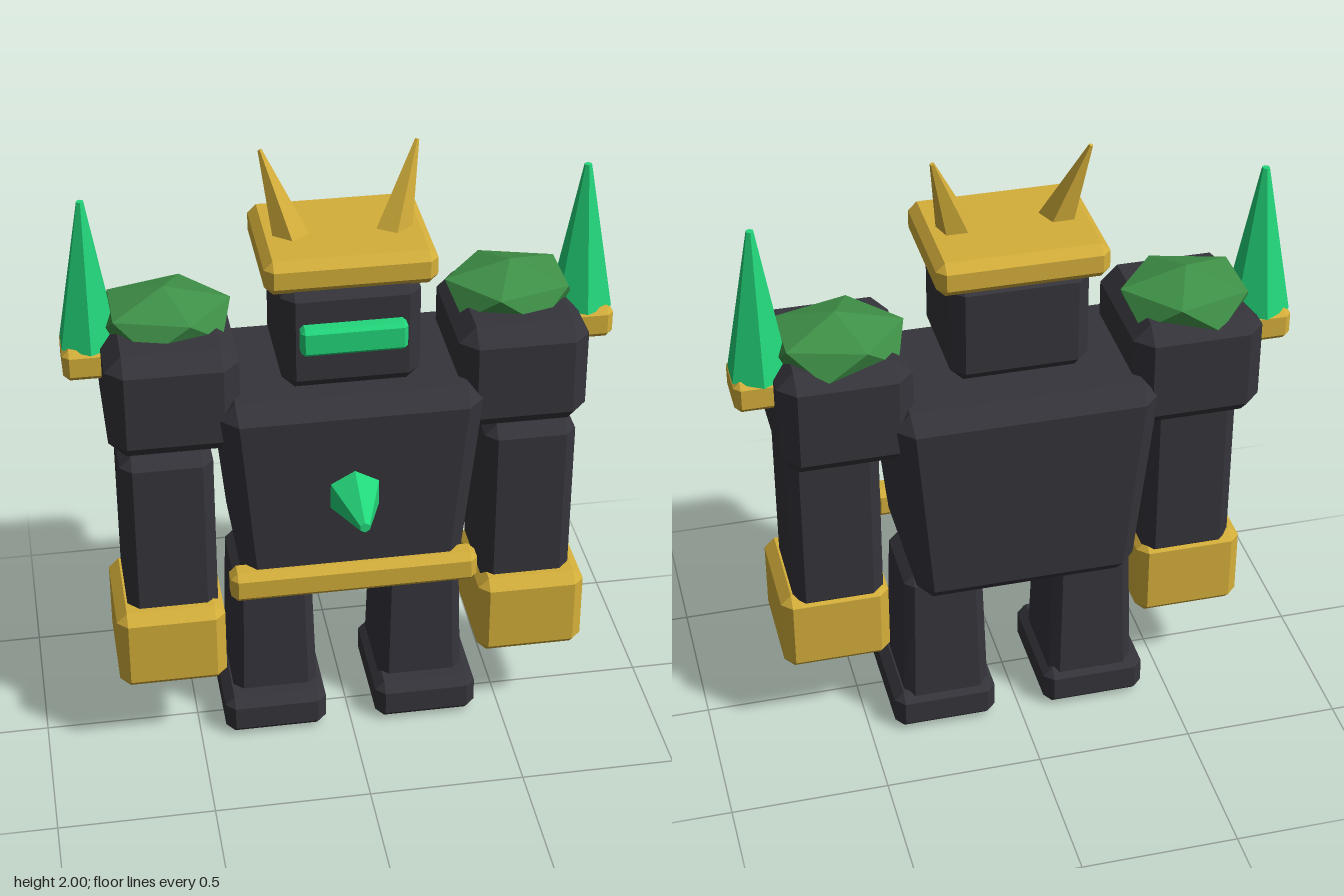
import * as THREE from 'three';
import { ConvexGeometry } from 'three/addons/geometries/ConvexGeometry.js';

const mat = (name, color) => Object.assign(new THREE.MeshStandardMaterial({ color }), { name });

// Box with chamfered edges; taperX/taperZ scale the bottom relative to the top
function chamferBox(w, h, d, bevel, taperX = 1, taperZ = 1) {
  const pts = [];
  for (const sx of [-1, 1]) for (const sy of [-1, 1]) for (const sz of [-1, 1]) {
    for (let face = 0; face < 3; face++) {
      const [x, y, z] = [w, h, d].map((s, i) => s / 2 - (i === face ? 0 : bevel));
      const t = 0.5 - (sy * y) / h; // 0 at the top, 1 at the bottom
      pts.push(new THREE.Vector3(
        sx * x * (1 + (taperX - 1) * t), sy * y, sz * z * (1 + (taperZ - 1) * t)));
    }
  }
  return new ConvexGeometry(pts);
}

// Faceted spike along +y with flat sides
function spike(rTip, rBase, height, sides) {
  const g = new THREE.CylinderGeometry(rTip, rBase, height, sides).toNonIndexed();
  g.computeVertexNormals();
  return g;
}

// Twelve-cornered boulder: two poles and two staggered rings of five
function boulder(rx, ry, rz) {
  const pts = [new THREE.Vector3(0, ry, 0), new THREE.Vector3(0, -ry, 0)];
  for (let i = 0; i < 10; i++) {
    const a = (i * Math.PI) / 5;
    pts.push(new THREE.Vector3(
      -rx * 0.894 * Math.cos(a), ry * (i % 2 ? -0.447 : 0.447), rz * 0.894 * Math.sin(a)));
  }
  return new ConvexGeometry(pts);
}

export function createModel() {
  const model = new THREE.Group();
  model.name = 'golem';
  const stone = mat('dark stone', 0x35343b);
  const gold = mat('gold', 0xd4af3a);
  const crystal = mat('bright crystal', 0x22d67a);
  const moss = mat('mossy green', 0x3f9148);

  const add = (name, geometry, material, x, y, z) => {
    const mesh = new THREE.Mesh(geometry, material);
    mesh.name = name;
    mesh.position.set(x, y, z);
    model.add(mesh);
    return mesh;
  };
  // Box given by centre x, half width, and its y and z ranges
  const block = (name, material, x, hw, [y0, y1], [z0, z1], bevel, tx, tz) =>
    add(name, chamferBox(hw * 2, y1 - y0, z1 - z0, bevel, tx, tz), material,
      x, (y0 + y1) / 2, (z0 + z1) / 2);

  // Body
  block('torso', stone, 0, 0.415, [0.575, 1.285], [-0.375, 0.195], 0.055, 0.83, 0.92);
  block('belt', gold, 0, 0.395, [0.585, 0.69], [0.12, 0.21], 0.022);
  add('chestCrystal', spike(0.017, 0.1, 0.22, 6), crystal, 0, 0.95, 0.262).rotation.x = Math.PI / 2;

  // Head
  block('head', stone, 0, 0.213, [1.31, 1.66], [-0.25, 0.145], 0.04);
  block('visor', crystal, 0, 0.162, [1.455, 1.545], [0.1, 0.19], 0.012);
  block('crownPlate', gold, 0, 0.262, [1.64, 1.75], [-0.287, 0.142], 0.027);

  for (const [side, s] of [['left', 1], ['right', -1]]) {
    // Crown horn, leaning outward and back
    const base = new THREE.Vector3(s * 0.146, 1.7, -0.05);
    const tip = new THREE.Vector3(s * 0.237, 2, -0.12);
    const dir = tip.clone().sub(base);
    const mid = base.clone().add(tip).multiplyScalar(0.5);
    const horn = add(side + 'Horn', spike(0.007, 0.065, dir.length(), 5), gold, mid.x, mid.y, mid.z);
    horn.quaternion.setFromUnitVectors(new THREE.Vector3(0, 1, 0), dir.normalize());

    // Arm
    block(side + 'Shoulder', stone, s * 0.5425, 0.204, [1.1, 1.455], [-0.325, 0.14], 0.053);
    const rock = add(side + 'ShoulderMoss', boulder(s * 0.229, 0.1, 0.2), moss, s * 0.54, 1.46, -0.135);
    rock.rotation.y = 0;
    block(side + 'SpikeSocket', gold, s * 0.775, 0.088, [1.295, 1.4], [-0.22, -0.045], 0.02);
    add(side + 'ShoulderCrystal', spike(0.012, 0.1, 0.475, 6), crystal, s * 0.775, 1.6275, -0.138);
    block(side + 'Arm', stone, s * 0.573, 0.145, [0.5, 1.1], [-0.19, 0.132], 0.036);
    block(side + 'Fist', gold, s * 0.585, 0.173, [0.265, 0.55], [-0.19, 0.185], 0.033);

    // Leg
    block(side + 'Leg', stone, s * 0.243, 0.125, [0.1, 0.59], [-0.23, 0.06], 0.028, 1.12, 1.1);
    block(side + 'Foot', stone, s * 0.25, 0.167, [0, 0.14], [-0.26, 0.143], 0.03);
  }
  return model;
}
